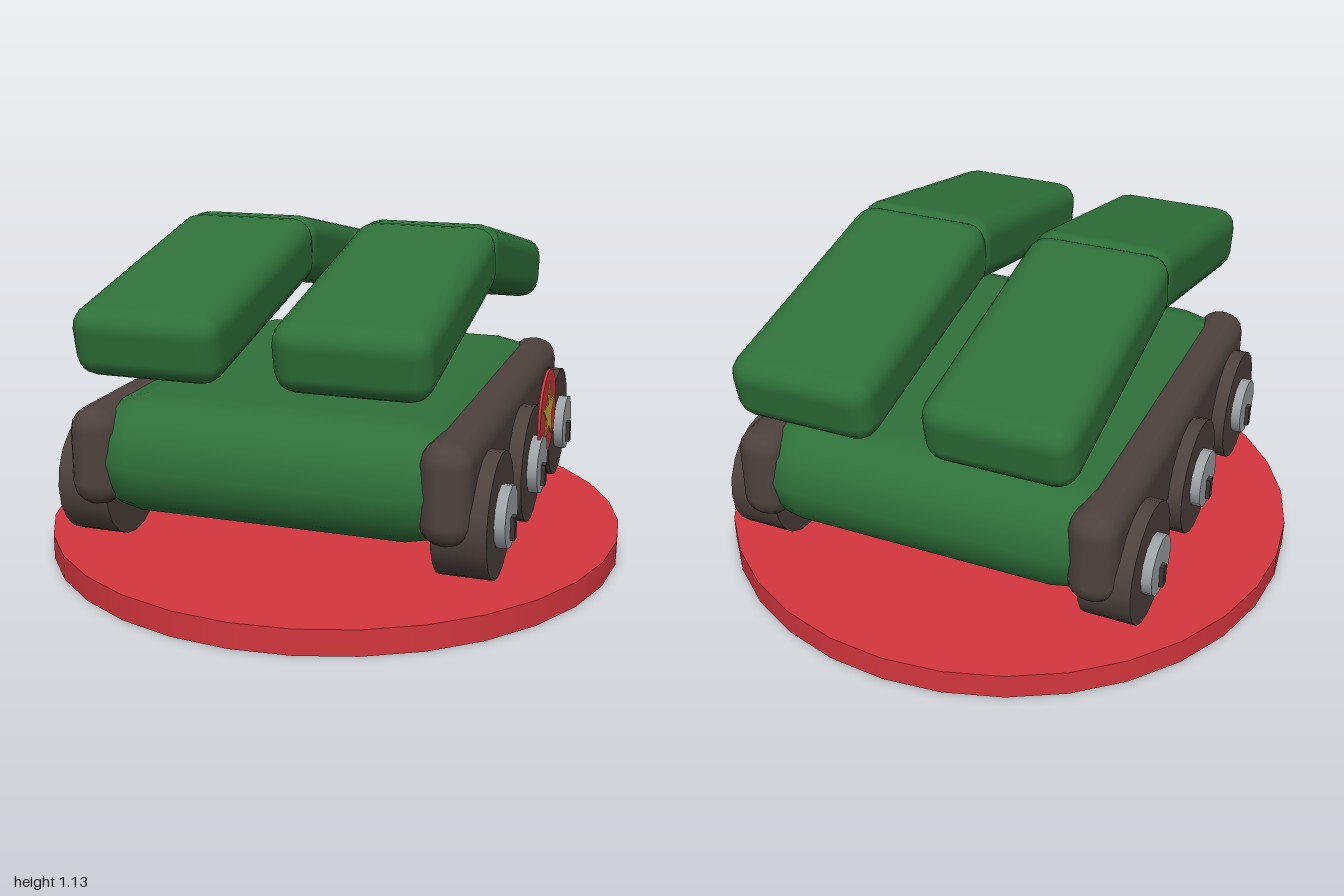
import * as THREE from 'three';
import { RoundedBoxGeometry } from 'three/addons/geometries/RoundedBoxGeometry.js';

const paint = (name, color) => {
  const m = new THREE.MeshStandardMaterial({ color });
  m.name = name;
  return m;
};

export function createModel() {
  const red = paint('red', 0xd4363e);
  const green = paint('green', 0x2f713a);
  const brown = paint('dark brown', 0x4e423d);
  const grey = paint('light grey', 0x9ea3a6);
  const dark = paint('charcoal', 0x3a3735);
  const gold = paint('gold', 0xd0b22e);

  const model = new THREE.Group();
  const add = (name, geometry, material, x, y, z) => {
    const mesh = new THREE.Mesh(geometry, material);
    mesh.name = name;
    mesh.position.set(x, y, z);
    model.add(mesh);
    return mesh;
  };
  // Cylinder lying along x
  const disc = (r, width, sides) =>
    new THREE.CylinderGeometry(r, r, width, sides).rotateZ(Math.PI / 2);

  // Round display base and hull
  add('base', new THREE.CylinderGeometry(1, 1, 0.085, 32), red, 0, 0.0425, 0);
  add('hull', new RoundedBoxGeometry(1.26, 0.39, 1.52, 2, 0.19), green, 0, 0.435, 0);

  // Side rails, wheels, hubs and hub pins
  const railGeo = new RoundedBoxGeometry(0.165, 0.325, 1.52, 2, 0.075);
  const wheelGeo = disc(0.2, 0.17, 20);
  const hubGeo = disc(0.1, 0.04, 12);
  const pinGeo = new THREE.BoxGeometry(0.05, 0.075, 0.03);
  for (const s of [1, -1]) {
    add('sideRail', railGeo, brown, s * 0.573, 0.443, 0);
    for (const z of [0.52, 0, -0.52]) {
      add('wheel', wheelGeo, brown, s * 0.618, 0.33, z);
      add('hub', hubGeo, grey, s * 0.717, 0.33, z);
      add('hubPin', pinGeo, dark, s * 0.726, 0.295, z);
    }
  }

  // Two pairs of tilted roof panels meeting at a ridge
  const panelGeo = new RoundedBoxGeometry(0.48, 0.225, 0.93, 2, 0.07);
  for (const x of [0.32, -0.32]) {
    for (const s of [1, -1]) {
      add('roofPanel', panelGeo, green, x, 0.9365, s * 0.4135).rotation.x = s * 0.209;
    }
  }

  // Round badge with a star on the left side
  add('badge', disc(0.152, 0.009, 24), red, 0.727, 0.48, -0.115);
  const star = new THREE.Shape();
  for (let i = 0; i < 10; i++) {
    const r = i % 2 ? 0.045 : 0.115;
    const a = Math.PI / 2 + (i * Math.PI) / 5;
    star[i ? 'lineTo' : 'moveTo'](r * Math.cos(a), r * Math.sin(a));
  }
  star.closePath();
  const starGeo = new THREE.ExtrudeGeometry(star, { depth: 0.004, bevelEnabled: false });
  add('badgeStar', starGeo, gold, 0.731, 0.48, -0.115).rotation.y = Math.PI / 2;

  return model;
}
